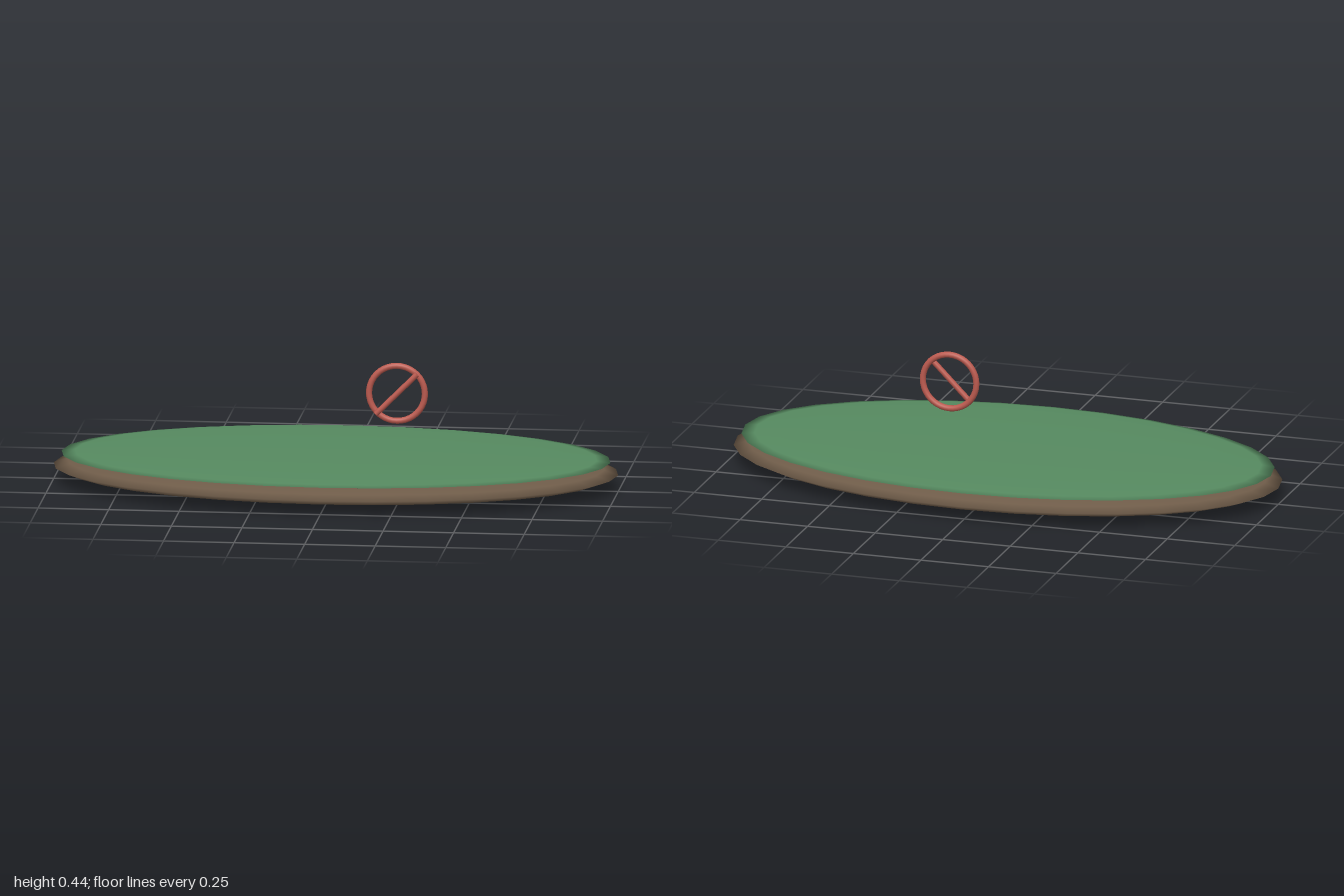
import * as THREE from 'three';

export function createModel() {
  const group = new THREE.Group();
  const soil = new THREE.MeshStandardMaterial({ name: 'soil brown', color: 0x6f5c49 });
  const grass = new THREE.MeshStandardMaterial({ name: 'grass green', color: 0x568a60 });
  const red = new THREE.MeshStandardMaterial({ name: 'sign red', color: 0xbb5a4f });

  function add(parent, name, geometry, material, x = 0, y = 0, z = 0) {
    const mesh = new THREE.Mesh(geometry, material);
    mesh.name = name;
    mesh.position.set(x, y, z);
    parent.add(mesh);
    return mesh;
  }

  // Flattened oval disc with a sharp rim
  function disc(name, material, rx, ry, rz, y) {
    const geometry = new THREE.SphereGeometry(1, 32, 10).scale(rx, ry, rz);
    return add(group, name, geometry, material, 0, y, 0);
  }

  // Oval ground: soil base with a thin grass cap
  disc('soilBase', soil, 1, 0.058, 0.545, 0.058);
  disc('grassCap', grass, 0.972, 0.018, 0.525, 0.102);

  // Floating prohibition sign: ring with a diagonal bar on its front
  const sign = new THREE.Group();
  sign.name = 'sign';
  sign.position.set(0.216, 0.335, 0);
  group.add(sign);
  add(sign, 'signRing', new THREE.TorusGeometry(0.099, 0.011, 12, 40), red);
  const bar = add(sign, 'signBar', new THREE.CylinderGeometry(0.01, 0.01, 0.206, 12), red, 0, 0, 0.013);
  bar.rotation.z = -Math.PI / 4;

  return group;
}
